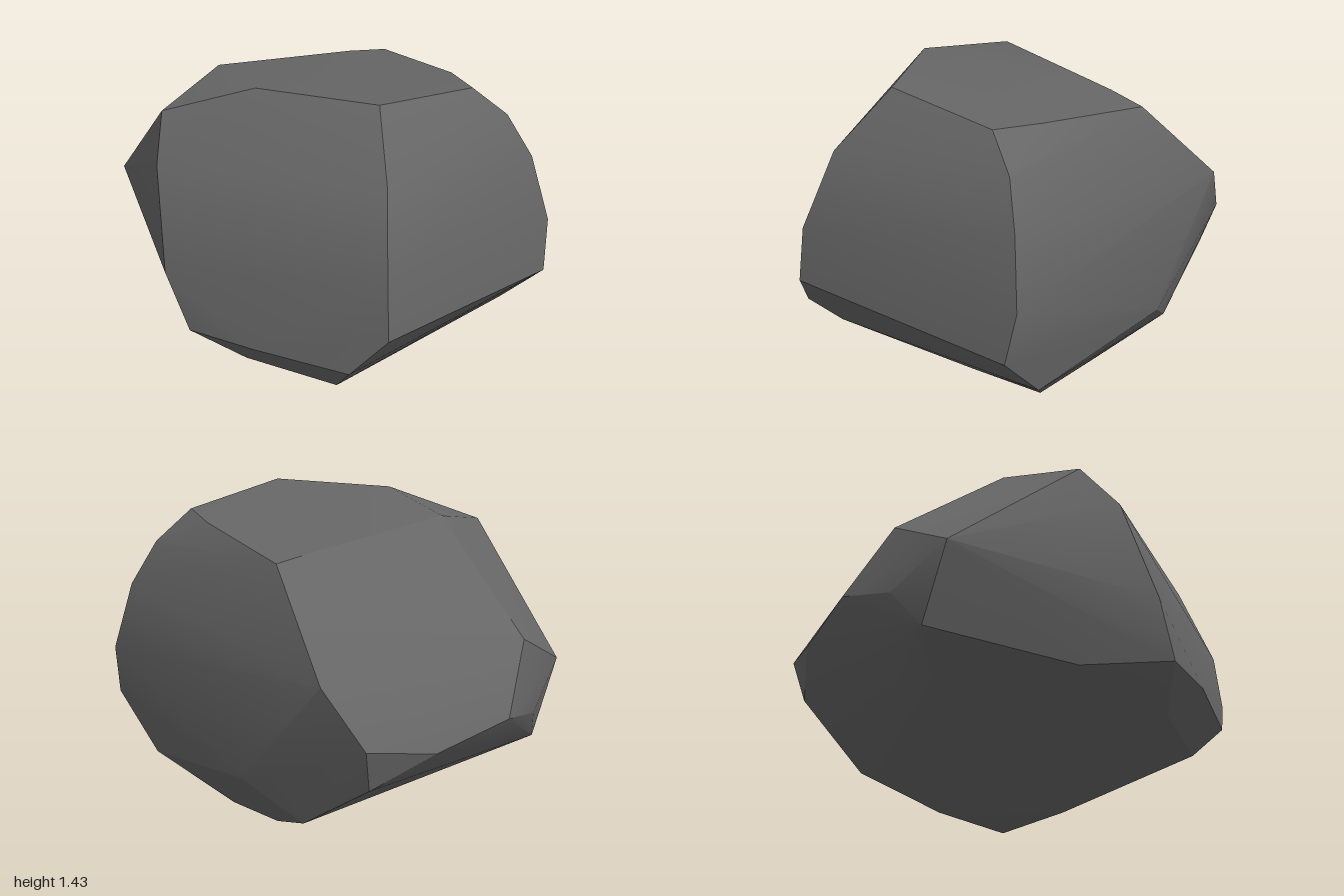
import * as THREE from 'three';
import { ConvexGeometry } from 'three/addons/geometries/ConvexGeometry.js';
import { toCreasedNormals } from 'three/addons/utils/BufferGeometryUtils.js';

// Corners of the boulder, grouped by region
const crown = [
  [-0.02, 1.43, 0.58], [-0.41, 1.425, 0.18], [-0.75, 1.285, -0.07], [-0.41, 1.375, -0.28],
  [0.28, 1.315, -0.37], [0.475, 1.29, -0.39], [0.53, 1.355, 0.18], [0.505, 1.37, 0.42],
];
const frontRidge = [
  [-0.1, 1.17, 0.83], [-0.16, 0.82, 0.97], [-0.165, 0.57, 1], [0.3, 0.525, 0.8],
  [-0.295, 0.39, 0.9], [-0.28, 0.24, 0.74], [-0.605, 0.42, 0.6],
];
const leftFlank = [
  [0.67, 1.23, 0.45], [0.78, 1.03, 0.5], [0.86, 0.72, 0.545],
  [0.83, 0.485, 0.585], [0.745, 0.24, 0.35], [0.65, 0.36, -0.38],
];
const rightFlank = [
  [-0.83, 1.1, 0.08], [-0.865, 0.665, 0.235], [-0.8, 0.42, 0.34], [-0.575, 0.275, 0.43],
  [-0.705, 0.36, -0.07], [-0.77, 0.77, -0.695], [-0.62, 0.44, -0.735],
];
const back = [
  [-0.49, 0.935, -0.82], [0.5, 0.885, -0.82], [0.375, 0.635, -0.97], [0.06, 0.58, -1],
  [-0.315, 0.655, -0.975], [-0.54, 0.6, -0.845], [0.33, 0.44, -0.92], [0.46, 0.19, -0.59],
];
const underside = [
  [0.455, 0, 0.13], [0.165, 0.04, 0.3], [0.4, 0.035, -0.22],
  [0.17, 0.085, -0.26], [-0.587, 0.4, -0.216],
];

export function createModel() {
  const group = new THREE.Group();
  group.name = 'boulder';

  const stone = new THREE.MeshStandardMaterial({ color: 0x666666 });
  stone.name = 'stone grey';

  // One faceted hull, softened only across shallow edges
  const corners = [crown, frontRidge, leftFlank, rightFlank, back, underside]
    .flat()
    .map((p) => new THREE.Vector3(...p));
  const rock = new THREE.Mesh(toCreasedNormals(new ConvexGeometry(corners), 0.42), stone);
  rock.name = 'rock';
  group.add(rock);

  return group;
}
